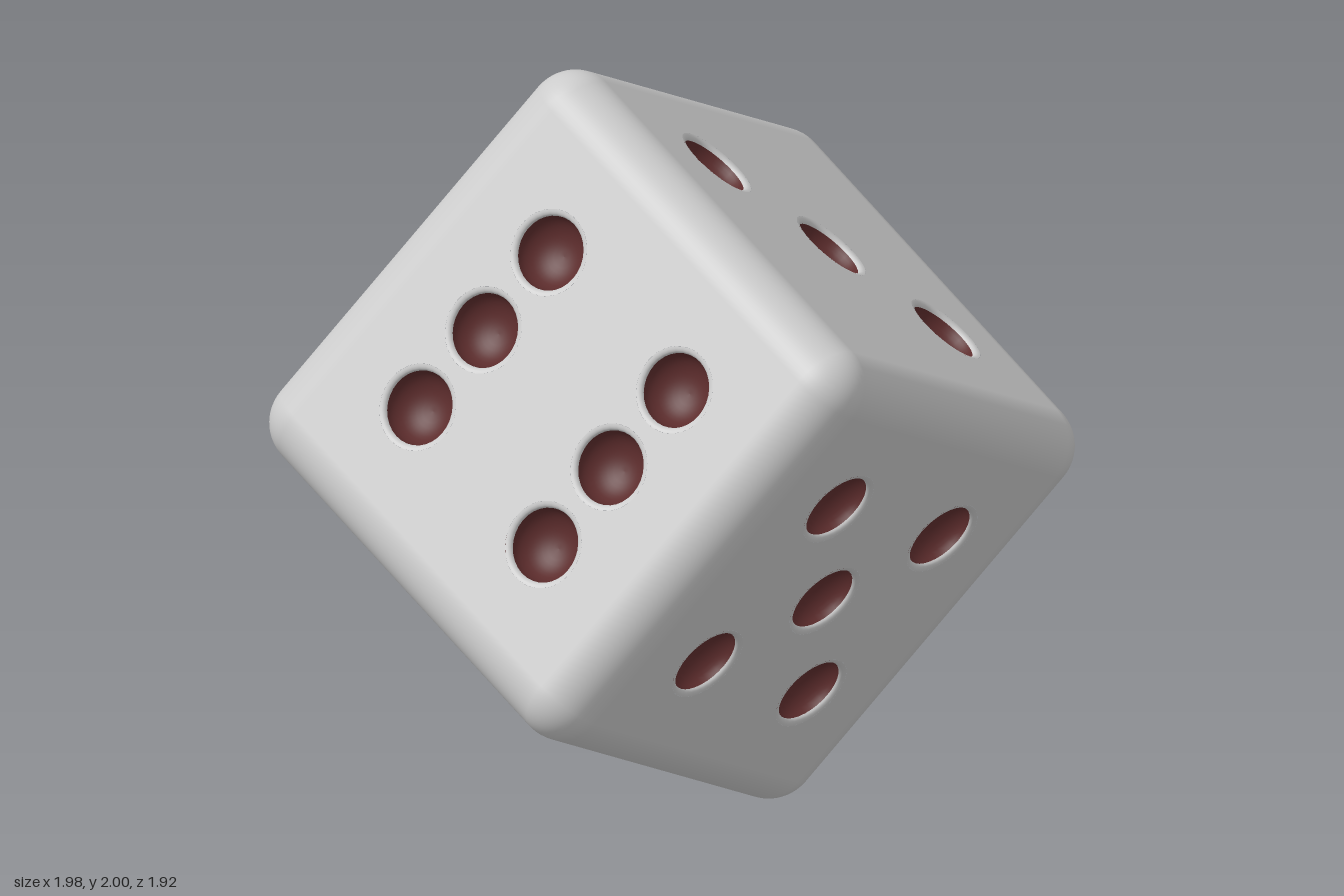
import * as THREE from 'three';
import { RoundedBoxGeometry } from 'three/addons/geometries/RoundedBoxGeometry.js';

const HALF = 0.65;    // centre to face
const ROUND = 0.125;  // edge radius
const FLAT = HALF - ROUND;
const D = 0.267;      // pip spacing
const LIP = 0.113, PIP = 0.097, LIP_DROP = 0.012, DEPTH = 0.08;
const SIDES = 32;

const ivory = new THREE.MeshStandardMaterial({ color: 0xcccccc });
const maroon = new THREE.MeshStandardMaterial({ color: 0x5c2c2c });

// Rounded box without its six flat squares, which get holes of their own
function roundedEdges() {
  const box = new RoundedBoxGeometry(2 * HALF, 2 * HALF, 2 * HALF, 7, ROUND);
  const src = box.index ? box.toNonIndexed() : box;
  const p = src.attributes.position, n = src.attributes.normal;
  const pos = [], nor = [];
  const axial = (i) => Math.max(Math.abs(n.getX(i)), Math.abs(n.getY(i)), Math.abs(n.getZ(i))) > 0.9999;
  for (let t = 0; t < p.count; t += 3) {
    if (axial(t) && axial(t + 1) && axial(t + 2)) continue;
    for (let i = t; i < t + 3; i++) {
      pos.push(p.getX(i), p.getY(i), p.getZ(i));
      nor.push(n.getX(i), n.getY(i), n.getZ(i));
    }
  }
  const g = new THREE.BufferGeometry();
  g.setAttribute('position', new THREE.Float32BufferAttribute(pos, 3));
  g.setAttribute('normal', new THREE.Float32BufferAttribute(nor, 3));
  return g;
}

// Flat square with a round hole for each pip
function faceGeometry(pips) {
  const s = new THREE.Shape();
  s.moveTo(-FLAT, -FLAT).lineTo(FLAT, -FLAT).lineTo(FLAT, FLAT).lineTo(-FLAT, FLAT).closePath();
  for (const [x, y] of pips) {
    s.holes.push(new THREE.Path().absarc(x, y, LIP, 0, Math.PI * 2, true));
  }
  return new THREE.ShapeGeometry(s, SIDES);
}

// Turned surface opening towards +z; profile runs from the rim inwards
function turned(profile) {
  return new THREE.LatheGeometry(profile, SIDES).rotateX(Math.PI / 2);
}

function arc(count, fn) {
  return Array.from({ length: count + 1 }, (_, i) => new THREE.Vector2(...fn((i / count) * Math.PI / 2)));
}

// Softly rounded lip and hollow bowl of a pip
const lipGeometry = turned(arc(4, (a) => [
  LIP - (LIP - PIP) * Math.sin(a), -LIP_DROP * (1 - Math.cos(a))]));
const bowlGeometry = turned(arc(10, (a) => [
  PIP * Math.cos(a), -LIP_DROP - (DEPTH - LIP_DROP) * Math.sin(a)]));

export function createModel() {
  const model = new THREE.Group();
  model.name = 'die';

  const body = new THREE.Group();
  body.name = 'dieBody';
  model.add(body);

  const edges = new THREE.Mesh(roundedEdges(), ivory);
  edges.name = 'roundedEdges';
  body.add(edges);

  // Pip layouts
  const corners = [[-D, -D], [D, -D], [D, D], [-D, D]];
  const Q = Math.PI / 2;
  const faces = [
    ['oneFace', 0, 2 * Q, [[0, 0]]],
    ['twoFace', 0, -Q, [[-D, D], [D, -D]]],
    ['threeFace', -Q, 0, [[-D, -D], [0, 0], [D, D]]],
    ['fourFace', Q, 0, corners],
    ['fiveFace', 0, Q, [...corners, [0, 0]]],
    ['sixFace', 0, 0, [...corners, [-D, 0], [D, 0]]],
  ];

  for (const [name, rx, ry, pips] of faces) {
    const face = new THREE.Group();
    face.name = name;
    face.rotation.set(rx, ry, 0);
    const panel = new THREE.Mesh(faceGeometry(pips), ivory);
    panel.name = 'facePanel';
    panel.position.z = HALF;
    face.add(panel);
    for (const [x, y] of pips) {
      const lip = new THREE.Mesh(lipGeometry, ivory);
      lip.name = 'pipLip';
      const bowl = new THREE.Mesh(bowlGeometry, maroon);
      bowl.name = 'pipBowl';
      for (const m of [lip, bowl]) {
        m.position.set(x, y, HALF);
        face.add(m);
      }
    }
    body.add(face);
  }

  // Tumbled pose, balanced on a corner
  const up = new THREE.Vector3(0.584, 0.772, -0.252).normalize();
  const front = new THREE.Vector3(-0.313, 0.501, 0.808);
  const side = new THREE.Vector3().crossVectors(up, front).normalize();
  front.crossVectors(side, up);
  body.quaternion.setFromRotationMatrix(new THREE.Matrix4().makeBasis(side, up, front));
  body.position.y = 1;
  return model;
}
